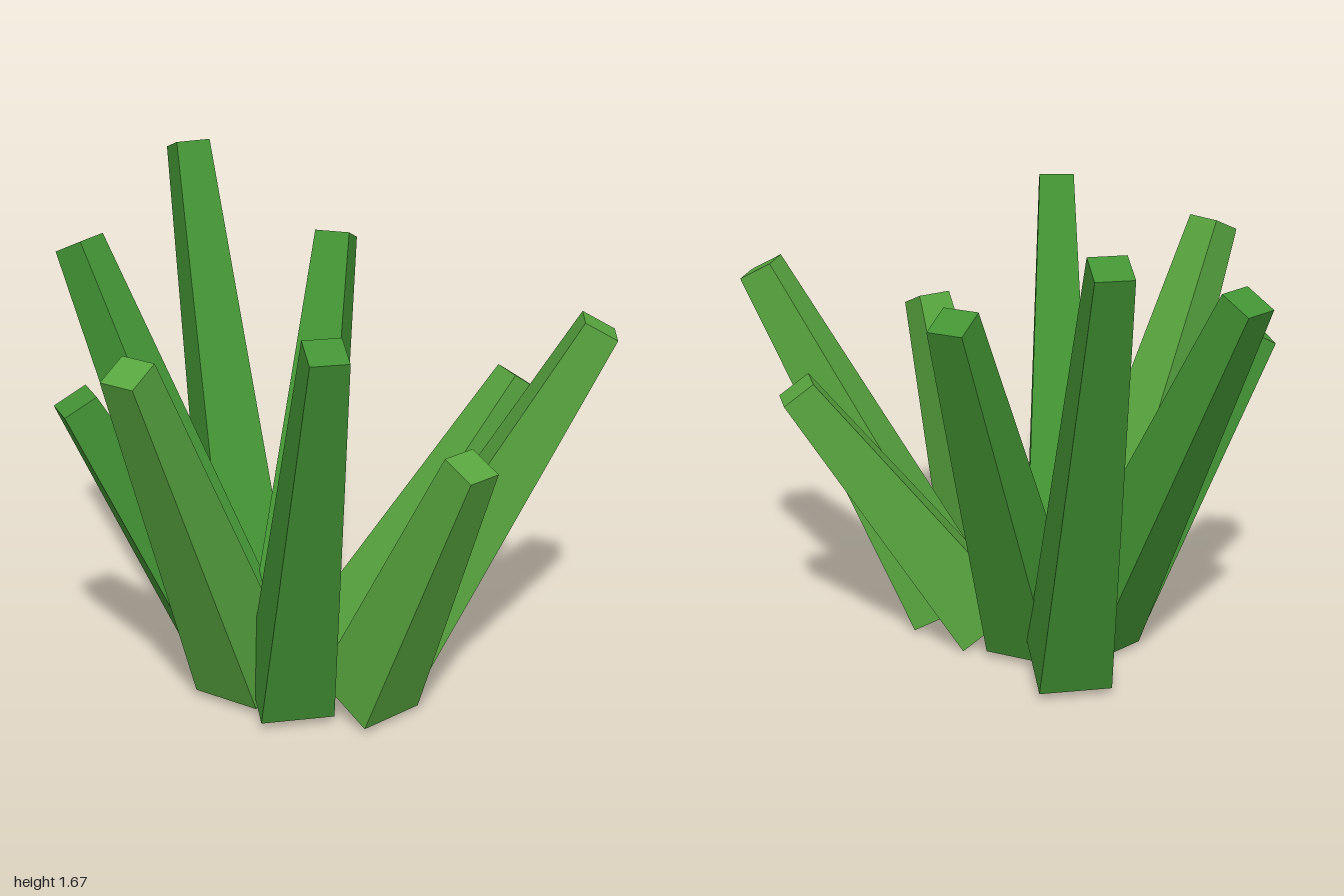
import * as THREE from 'three';

const BASE_WIDTH = 0.25;
const TIP_WIDTH = 0.125;

// Square tapered blade running from base centre to tip centre,
// with one pair of sides facing along its outward lean.
function makeBlade(base, tip, material) {
  const start = new THREE.Vector3(...base);
  const end = new THREE.Vector3(...tip);
  const axis = end.clone().sub(start);
  const length = axis.length();
  axis.normalize();

  const geometry = new THREE.CylinderGeometry(
    TIP_WIDTH / Math.SQRT2, BASE_WIDTH / Math.SQRT2, length, 4, 1
  ).rotateY(Math.PI / 4).toNonIndexed();
  geometry.computeVertexNormals();

  const side = new THREE.Vector3(0, 1, 0).cross(axis).normalize();
  const outward = side.clone().cross(axis);
  const blade = new THREE.Mesh(geometry, material);
  blade.quaternion.setFromRotationMatrix(new THREE.Matrix4().makeBasis(side, axis, outward));
  blade.position.copy(start).add(end).multiplyScalar(0.5);
  return blade;
}

export function createModel() {
  const group = new THREE.Group();
  group.name = 'grassTuft';

  const lightGreen = new THREE.MeshStandardMaterial({ color: 0x58a63f, flatShading: true });
  lightGreen.name = 'lightGreen';
  const deepGreen = new THREE.MeshStandardMaterial({ color: 0x439434, flatShading: true });
  deepGreen.name = 'deepGreen';

  // name, base centre, tip centre, colour
  const blades = [
    ['backBlade', [0.01, 0.07, -0.335], [0.095, 1.643, -0.935], deepGreen],
    ['backLeftBlade', [0.047, 0.075, -0.058], [0.447, 1.373, -0.463], deepGreen],
    ['leftBlade', [0.165, 0.072, 0.14], [0.805, 0.973, 0.203], lightGreen],
    ['frontLeftBlade', [0.238, 0.068, 0.285], [0.82, 1.292, 0.635], lightGreen],
    ['frontBlade', [0.03, 0.073, 0.495], [0.133, 1.033, 0.93], lightGreen],
    ['frontRightBlade', [-0.2, 0.07, 0.37], [-0.352, 1.473, 0.858], deepGreen],
    ['rightFrontBlade', [-0.275, 0.078, 0.18], [-0.817, 1.36, 0.455], lightGreen],
    ['rightBlade', [-0.24, 0.078, 0.03], [-0.777, 1.095, -0.04], deepGreen],
    ['backRightBlade', [-0.16, 0.075, -0.09], [-0.46, 1.415, -0.685], deepGreen],
  ];
  for (const [name, base, tip, material] of blades) {
    const blade = makeBlade(base, tip, material);
    blade.name = name;
    group.add(blade);
  }
  return group;
}
